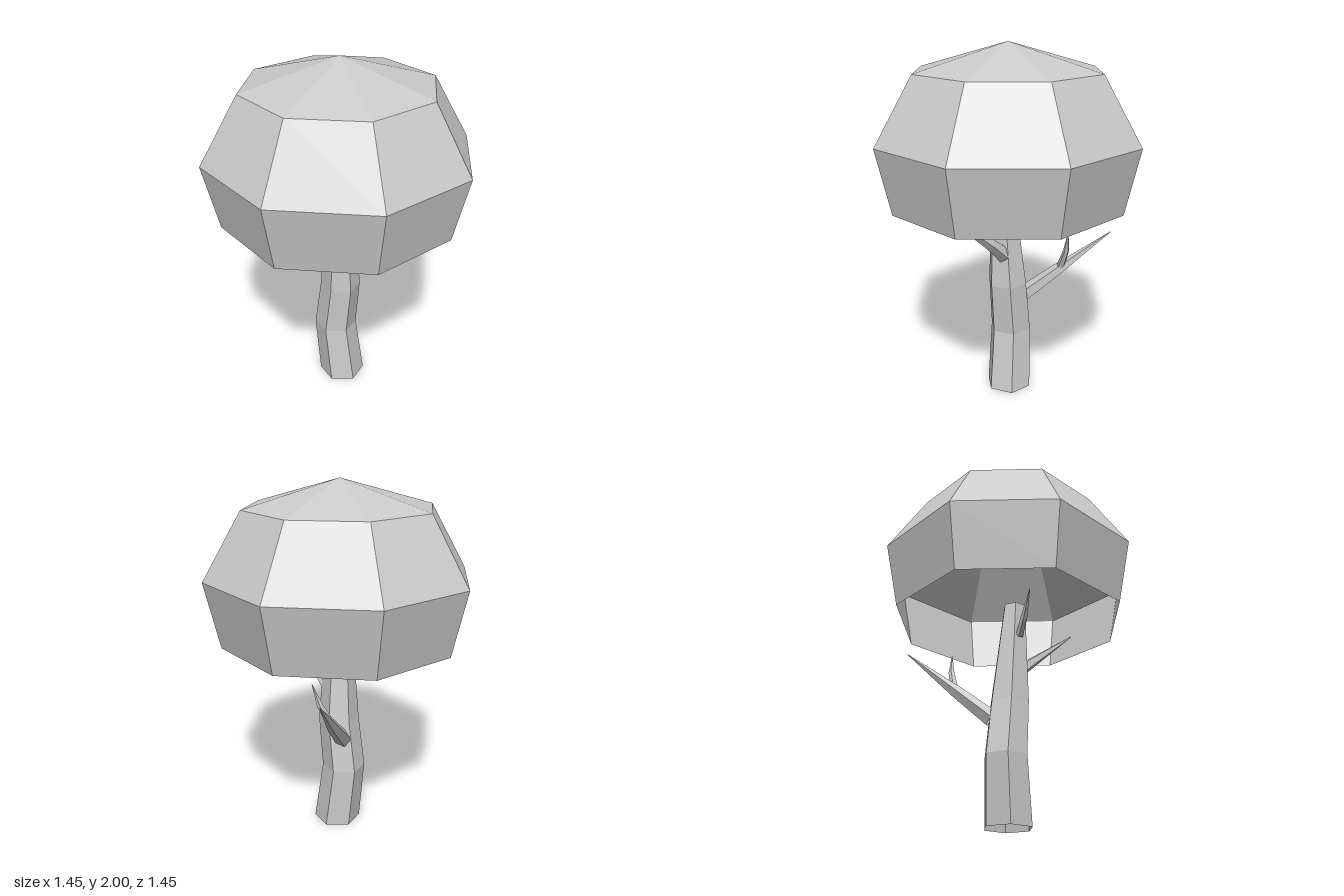
import * as THREE from 'three';

const material = new THREE.MeshStandardMaterial({
  color: 0xcccccc, flatShading: true, side: THREE.DoubleSide,
});
const UP = new THREE.Vector3(0, 1, 0);

// Open faceted limb through stations [x, y, z, radius]; rings stay level or face along the path
function limb(name, stations, sides, level = false) {
  const centres = stations.map(([x, y, z]) => new THREE.Vector3(x, y, z));
  const positions = [];
  const index = [];
  stations.forEach((station, r) => {
    const before = centres[Math.max(r - 1, 0)];
    const after = centres[Math.min(r + 1, centres.length - 1)];
    const axis = level ? UP : after.clone().sub(before).normalize();
    const turn = new THREE.Quaternion().setFromUnitVectors(UP, axis);
    for (let i = 0; i < sides; i++) {
      const a = (i / sides) * Math.PI * 2;
      const p = new THREE.Vector3(Math.sin(a), 0, Math.cos(a))
        .multiplyScalar(station[3]).applyQuaternion(turn).add(centres[r]);
      positions.push(p.x, p.y, p.z);
      if (r > 0) {
        const j = (i + 1) % sides;
        const low = (r - 1) * sides;
        const high = r * sides;
        index.push(low + i, low + j, high + i, low + j, high + j, high + i);
      }
    }
  });
  const geometry = new THREE.BufferGeometry();
  geometry.setAttribute('position', new THREE.Float32BufferAttribute(positions, 3));
  geometry.setIndex(index);
  geometry.computeVertexNormals();
  const mesh = new THREE.Mesh(geometry, material);
  mesh.name = name;
  return mesh;
}

export function createModel() {
  const tree = new THREE.Group();
  tree.name = 'tree';

  // Hollow eight-sided crown, open underneath
  const profile = [[0.65, 1.14], [0.727, 1.5], [0.515, 1.855], [0, 2]]
    .map(([r, y]) => new THREE.Vector2(r, y));
  const canopy = new THREE.Mesh(new THREE.LatheGeometry(profile, 8), material);
  canopy.name = 'canopy';
  tree.add(canopy);

  // Slightly bent six-sided trunk
  tree.add(limb('trunk', [
    [0.012, 0, -0.01, 0.133],
    [-0.03, 0.36, -0.005, 0.122],
    [0.006, 0.66, 0, 0.114],
    [0.016, 1.25, 0.028, 0.066],
  ], 6, true));

  // Branches, each tapering to a point
  tree.add(limb('leftBranch', [
    [0.05, 0.83, -0.01, 0.048],
    [0.18, 0.945, 0.03, 0.034],
    [0.5, 1.24, 0.2, 0.003],
  ], 5));
  tree.add(limb('backBranch', [
    [-0.06, 0.56, -0.07, 0.048],
    [-0.11, 0.725, -0.26, 0.036],
    [-0.195, 0.97, -0.54, 0.002],
  ], 5));
  tree.add(limb('backTwig', [
    [-0.11, 0.75, -0.28, 0.024],
    [-0.065, 0.87, -0.325, 0.017],
    [-0.03, 0.99, -0.345, 0.002],
  ], 5));
  tree.add(limb('frontBranch', [
    [-0.025, 1.04, 0.075, 0.022],
    [-0.065, 1.12, 0.12, 0.02],
    [-0.14, 1.26, 0.19, 0.002],
  ], 5));

  return tree;
}
